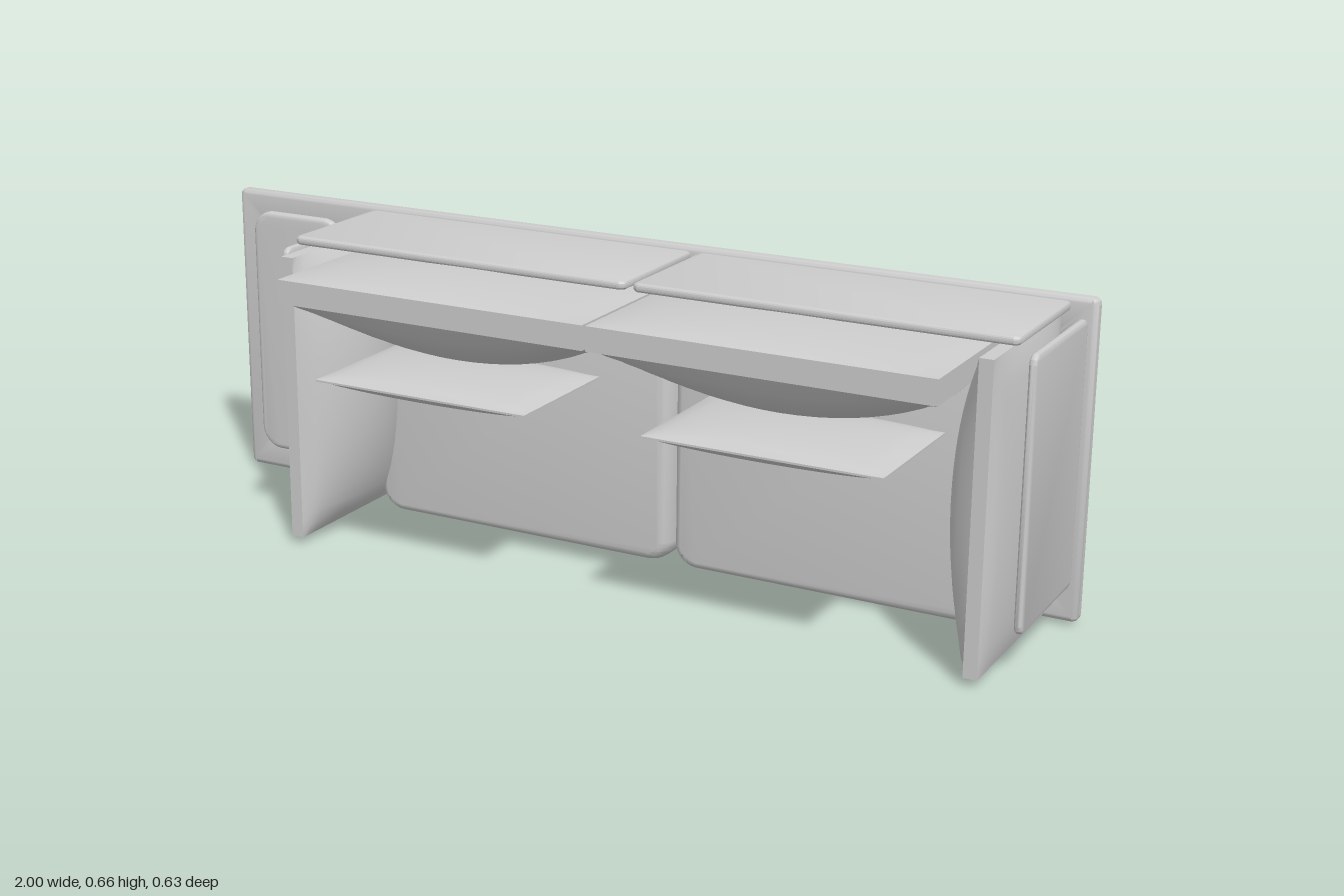
import * as THREE from 'three';
import { toCreasedNormals } from 'three/addons/utils/BufferGeometryUtils.js';

const material = new THREE.MeshStandardMaterial({ color: 0xcccccc, side: THREE.DoubleSide });
const Q = Math.PI / 2;

function roundedRect(w, h, r, Type = THREE.Shape) {
  const s = new Type(), a = w / 2, b = h / 2;
  s.absarc(a - r, b - r, r, 0, Q);
  s.absarc(-a + r, b - r, r, Q, 2 * Q);
  s.absarc(-a + r, -b + r, r, 2 * Q, 3 * Q);
  s.absarc(a - r, -b + r, r, 3 * Q, 4 * Q);
  s.closePath();
  return s;
}

// Rounded slab in the xy plane, centred on z = 0, optionally with a window
function slab(w, h, d, r, bevel, bevelDepth, hole) {
  const shape = roundedRect(w, h, r);
  if (hole) shape.holes.push(roundedRect(hole[0], hole[1], 0.008, THREE.Path));
  const g = new THREE.ExtrudeGeometry(shape, {
    depth: d - 2 * bevelDepth, bevelEnabled: bevel > 0, bevelSize: bevel, bevelOffset: -bevel,
    bevelThickness: bevelDepth, bevelSegments: 4, curveSegments: 6,
  });
  g.translate(0, 0, -(d - 2 * bevelDepth) / 2);
  return toCreasedNormals(g, 0.6);
}

// Stuffed cushion: flat edge band, bulging by different amounts front and back
function pillow(w, h, edge, front, back, power) {
  const g = new THREE.BoxGeometry(2, 2, 2, 20, 20, 1);
  const p = g.attributes.position;
  for (let i = 0; i < p.count; i++) {
    const u = p.getX(i), v = p.getY(i), s = p.getZ(i);
    const f = Math.pow(Math.max(0, (1 - u * u) * (1 - v * v)), power);
    p.setXYZ(i, u * w / 2, v * h / 2, s > 0 ? edge + front * f : -edge - back * f);
  }
  g.computeVertexNormals();
  return g;
}

export function createModel() {
  const model = new THREE.Group();
  const add = (name, g, x, y, z, rx = 0, ry = 0) => {
    const m = new THREE.Mesh(g, material);
    m.name = name;
    m.position.set(x, y, z);
    m.rotation.set(rx, ry, 0);
    model.add(m);
    return m;
  };
  const box = (name, w, h, d, x, y, z) => add(name, new THREE.BoxGeometry(w, h, d), x, y, z);
  const midY = 0.335, midX = 0.158;

  // Platform: bevelled ring, thin lip behind it and cross bars
  add('platformFrame', slab(2, 0.655, 0.03, 0.015, 0.012, 0.01, [1.8, 0.45]), 0, midY, -0.175);
  add('platformLip', slab(1.84, 0.5, 0.016, 0.008, 0, 0, [1.77, 0.43]), 0, midY, -0.196);
  for (const x of [0.87, 0.79, midX, -0.58, -0.645, -0.74, -0.87])
    box('crossBar', 0.022, 0.46, 0.022, x, midY, -0.182);
  box('tableDeck', 0.37, 0.6, 0.006, -0.79, midY, -0.164);
  box('endDeck', 0.11, 0.6, 0.006, 0.92, midY, -0.164);
  add('tableTray', slab(0.24, 0.56, 0.022, 0.05, 0.012, 0.009), -0.835, 0.34, -0.156);

  // Legs: splayed bent strips, mirrored top and bottom
  const profile = [[0.2, 0.43], [0.214, 0.43], [0.221, 0.515], [0.229, 0.533], [0.315, 0.581],
    [0.315, 0.591], [0.222, 0.546], [0.21, 0.535], [0.204, 0.515]];
  for (const x of [-0.82, 0.815]) {
    box('legRail', 0.03, 0.48, 0.014, x, midY, -0.195);
    for (const side of [1, -1]) {
      const pts = profile.map(([a, y]) => new THREE.Vector2(a, side * (y - midY)));
      const g = new THREE.ExtrudeGeometry(new THREE.Shape(pts), { depth: 0.03, bevelEnabled: false });
      g.translate(0, 0, -0.015);
      add('leg', g, x, midY, 0, 0, Q);
    }
  }

  // Two seats, each with back panel, back cushion and lumbar pillow
  for (const s of [-1, 1]) {
    add('seatCushion', slab(0.722, 0.615, 0.115, 0.055, 0.022, 0.045), midX + s * 0.3635, 0.3075, -0.1125);
    add('backPanel', slab(0.785, 0.295, 0.018, 0.015, 0.008, 0.008), midX + s * 0.4, 0.645, -0.0135, Q);
    add('backCushion', pillow(0.705, 0.37, 0.025, 0.11, 0.028, 0.75), midX + s * 0.356, 0.585, 0.122, Q);
    add('lumbarPillow', pillow(0.49, 0.3, 0.002, 0.028, 0.028, 0.5), midX + s * 0.372, 0.413, 0.165, Q);
    // Arms
    add('armCushion', pillow(0.365, 0.613, 0.014, 0.086, 0.028, 0.6), midX + s * 0.758, 0.322, 0.0245, 0, -s * Q);
    add('armPanel', slab(0.295, 0.54, 0.016, 0.02, 0.008, 0.007), midX + s * 0.818, 0.355, -0.0125, 0, Q);
  }
  return model;
}
